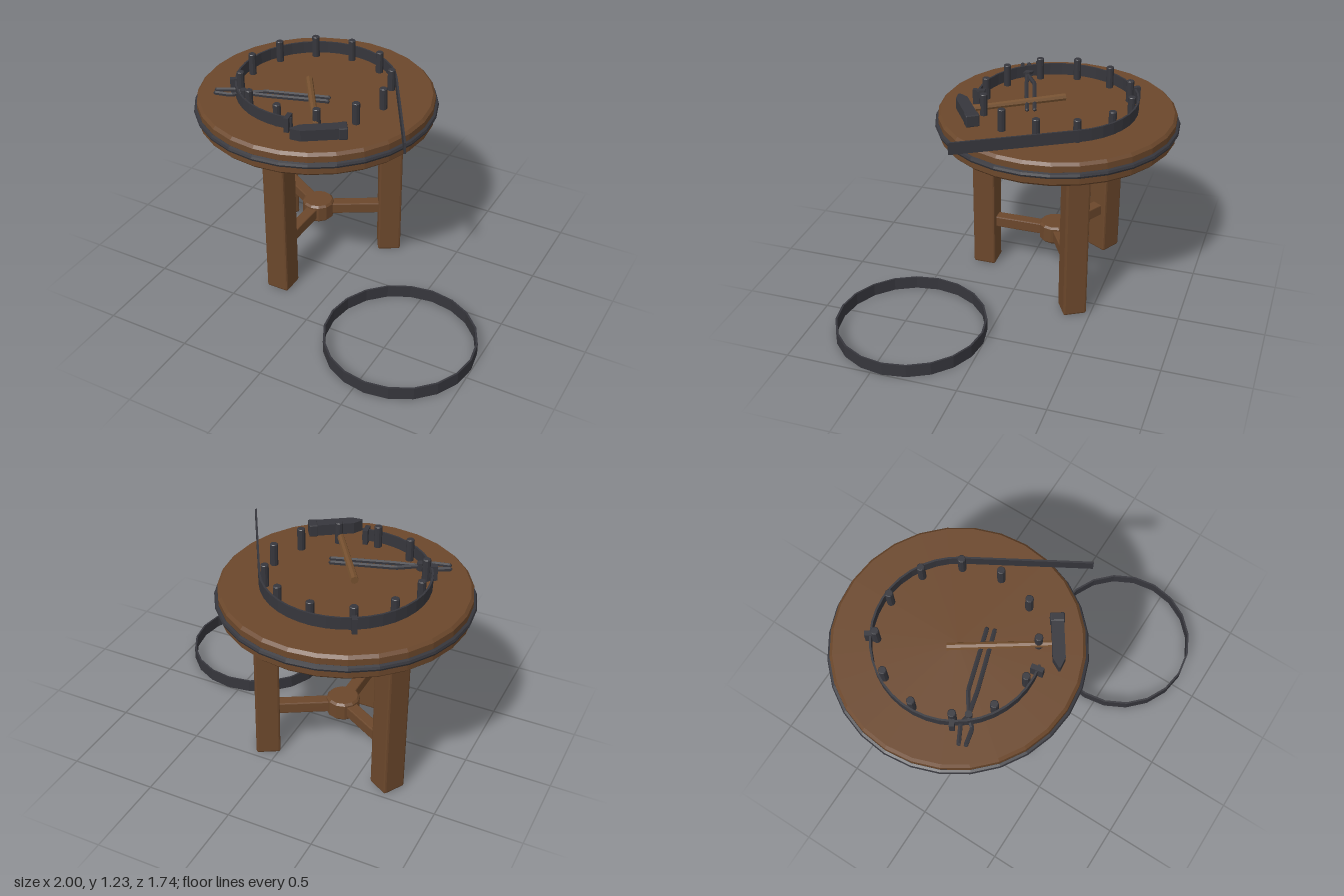
import * as THREE from 'three';
import { RoundedBoxGeometry } from 'three/addons/geometries/RoundedBoxGeometry.js';

const mat = (name, color) => {
  const m = new THREE.MeshStandardMaterial({ color, flatShading: true });
  m.name = name;
  return m;
};

export function createModel() {
  const wood = mat('brown wood', 0x6b472b);
  const handleWood = mat('handle wood', 0x75502f);
  const iron = mat('dark iron', 0x36363c);
  const root = new THREE.Group();
  root.name = 'hoopBendingTable';

  const add = (parent, name, geo, material, x = 0, y = 0, z = 0, ry = 0) => {
    const m = new THREE.Mesh(geo, material);
    m.name = name;
    m.position.set(x, y, z);
    m.rotation.y = ry;
    parent.add(m);
    return m;
  };
  const V = (x, y) => new THREE.Vector2(x, y);

  // Bevelled disc standing on its own base
  const disc = (r, h, bevel, sides) => new THREE.LatheGeometry([
    V(0, 0), V(r - bevel, 0), V(r, bevel), V(r, h - bevel), V(r - bevel, h), V(0, h),
  ], sides);

  // Flat-bottomed slab cut from an x/z outline, top face at y = 0
  const slab = (points, height, hole) => {
    const shape = new THREE.Shape(points);
    if (hole) shape.holes.push(new THREE.Path(hole));
    return new THREE.ExtrudeGeometry(shape, { depth: height, bevelEnabled: false }).rotateX(Math.PI / 2);
  };
  const arc = (r, from, to, n) => Array.from({ length: n + 1 }, (_, i) => {
    const a = from + (to - from) * i / n;
    return V(r * Math.cos(a), r * Math.sin(a));
  });

  const table = new THREE.Group();
  table.name = 'table';
  table.position.set(-0.295, 0, -0.167);
  root.add(table);

  // Round top with its iron rim
  add(table, 'tableTop', disc(0.686, 0.14, 0.016, 28), wood, 0, 0.96, 0);
  add(table, 'rimBand', new THREE.TorusGeometry(0.687, 0.018, 8, 28).rotateX(Math.PI / 2), iron, 0, 1.03, 0);

  // Three legs, stretchers and hub
  for (let i = 0; i < 3; i++) {
    const spoke = new THREE.Group();
    spoke.name = 'legAndStretcher';
    spoke.rotation.y = i * Math.PI * 2 / 3;
    table.add(spoke);
    add(spoke, 'leg', new RoundedBoxGeometry(0.138, 0.965, 0.138, 1, 0.012), wood, 0, 0.4825, 0.435);
    add(spoke, 'stretcher', new RoundedBoxGeometry(0.068, 0.068, 0.37, 1, 0.006), wood, 0, 0.29, 0.19);
  }
  add(table, 'stretcherHub', disc(0.095, 0.113, 0.012, 12), wood, 0, 0.232, 0);

  // Ring of bending pegs
  for (let i = 0; i < 12; i++) {
    const a = i * Math.PI / 6;
    add(table, 'peg', disc(0.0225, 0.135, 0.004, 10), iron, 0.43 * Math.cos(a), 1.095, 0.43 * Math.sin(a));
  }

  // Iron strap bent round the pegs, with a straight tangent tail
  const deg = Math.PI / 180, start = -30 * deg, end = -283 * deg;
  const tail = r => V(r * Math.cos(start) - 0.71 * Math.sin(start), r * Math.sin(start) + 0.71 * Math.cos(start));
  const outline = [
    tail(0.464), ...arc(0.464, start, end, 28),
    ...arc(0.453, end, start, 28), tail(0.453),
  ];
  add(table, 'bentStrap', slab(outline, 0.07), iron, 0, 1.18, 0);

  // Clips holding the strap
  for (const d of [80, 150, 240]) {
    const a = d * deg;
    add(table, 'strapClip', new THREE.BoxGeometry(0.07, 0.088, 0.028), iron,
      0.455 * Math.cos(a), 1.143, 0.455 * Math.sin(a), -a);
  }

  // Finished hoop lying on the ground
  add(root, 'looseHoop', slab(arc(0.433, 0, Math.PI * 2, 20).slice(0, -1), 0.075,
    arc(0.422, 0, Math.PI * 2, 20).slice(0, -1)), iron, 0.565, 0.075, 0.433);

  // Hammer resting on the table
  const hammer = new THREE.Group();
  hammer.name = 'hammer';
  hammer.position.set(-0.02, 1.145, 0.29);
  hammer.rotation.y = 0.594;
  root.add(hammer);
  add(hammer, 'hammerHead', slab([
    V(-0.155, -0.005), V(-0.1, -0.034), V(0.11, -0.034), V(0.11, 0.034), V(-0.1, 0.034), V(-0.155, 0.005),
  ], 0.066), iron, 0, 0.033, 0);
  add(hammer, 'hammerFace', new RoundedBoxGeometry(0.05, 0.072, 0.078, 1, 0.006), iron, 0.13, 0, 0);
  add(hammer, 'hammerHandle', new THREE.CylinderGeometry(0.018, 0.022, 0.62, 8).rotateX(Math.PI / 2),
    handleWood, -0.01, 0, -0.28);

  // Tongs: two crossing bent rods and a rivet
  const tongs = new THREE.Group();
  tongs.name = 'tongs';
  tongs.position.y = 1.137;
  root.add(tongs);
  const rods = [
    [[-0.16, -0.07], [-0.5, 0.035], [-0.61, 0.11], [-0.66, 0.165], [-0.75, 0.185]],
    [[-0.145, -0.03], [-0.47, 0.075], [-0.61, 0.11], [-0.67, 0.1], [-0.765, 0.15]],
  ];
  for (const rod of rods) {
    const path = new THREE.CurvePath();
    const pts = rod.map(([x, z]) => new THREE.Vector3(x, 0, z));
    for (let i = 1; i < pts.length; i++) path.add(new THREE.LineCurve3(pts[i - 1], pts[i]));
    add(tongs, 'tongArm', new THREE.TubeGeometry(path, 40, 0.013, 6), iron);
    for (const p of [pts[0], pts[pts.length - 1]]) {
      add(tongs, 'tongTip', new THREE.IcosahedronGeometry(0.013, 0), iron, p.x, 0, p.z);
    }
  }
  add(tongs, 'tongRivet', new THREE.CylinderGeometry(0.02, 0.02, 0.045, 8), iron, -0.61, 0, 0.11);

  return root;
}
